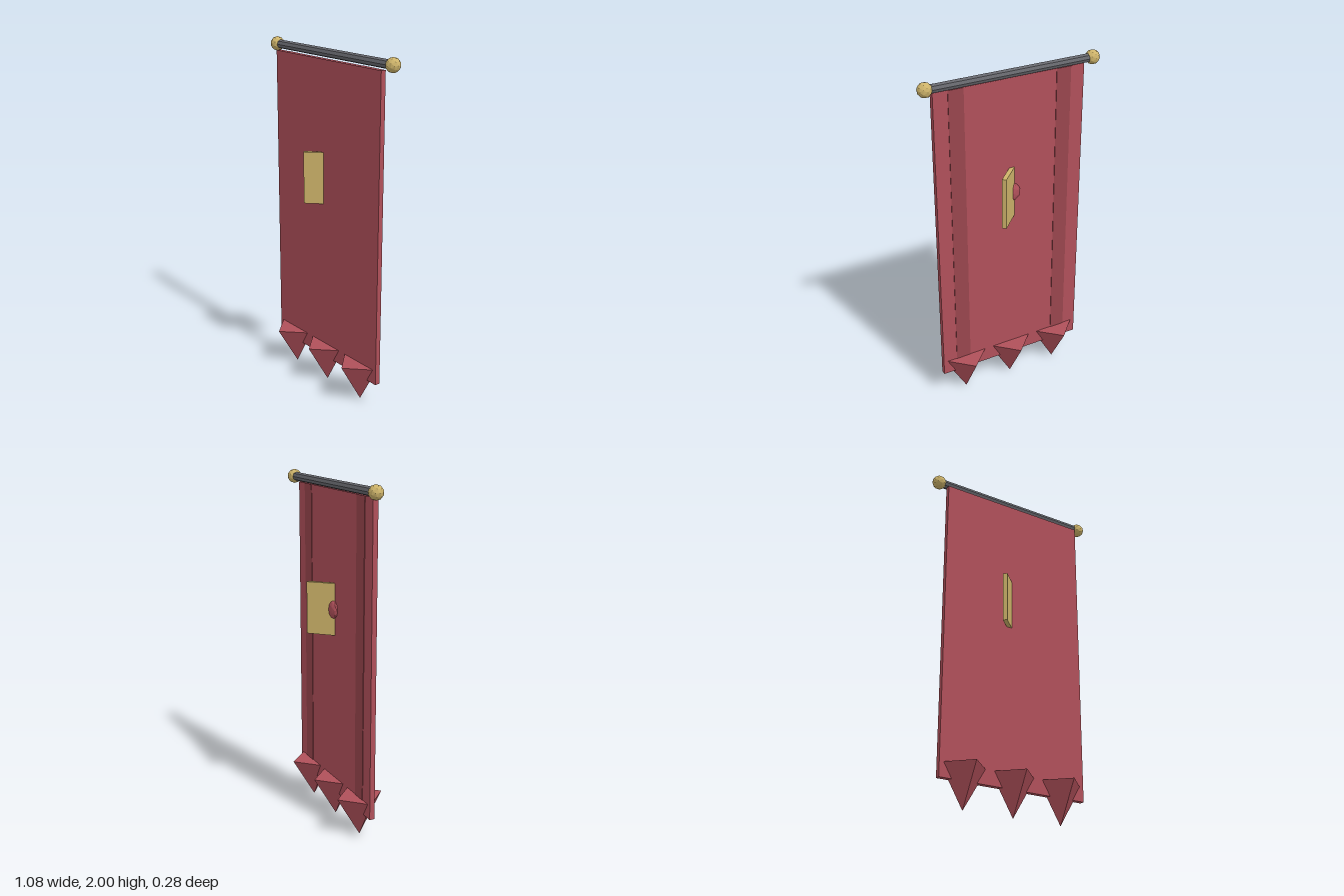
import * as THREE from 'three';

const mat = (color) => new THREE.MeshStandardMaterial({ color, flatShading: true });

export function createModel() {
  const group = new THREE.Group();
  const red = mat(0xb0505a), darkRed = mat(0x98454d), gold = mat(0xcdb36a), iron = mat(0x66676d);

  const add = (name, geometry, material, x, y, z) => {
    const mesh = new THREE.Mesh(geometry, material);
    mesh.name = name;
    mesh.position.set(x, y, z);
    group.add(mesh);
    return mesh;
  };

  // Hanging cloth
  const bottom = 0.155, top = 1.93;
  const height = top - bottom, middle = (top + bottom) / 2;
  add('cloth', new THREE.BoxGeometry(0.91, height, 0.03), red, 0, middle, 0);

  // Raised strips down the back of the cloth
  for (const side of [-1, 1]) {
    add('backStrip', new THREE.BoxGeometry(0.09, height, 0.006), darkRed, side * 0.325, middle, -0.015);
  }

  // Horizontal pole with faceted end knobs
  const pole = add('pole', new THREE.CylinderGeometry(0.025, 0.025, 1, 8), iron, 0, 1.96, -0.024);
  pole.rotation.z = Math.PI / 2;
  for (const side of [-1, 1]) {
    add('poleKnob', new THREE.IcosahedronGeometry(0.041, 1), gold, side * 0.5, 1.96, -0.024);
  }

  // Pointed pendants along the lower hem
  for (const x of [-0.305, 0, 0.305]) {
    const point = add('hemPoint', new THREE.ConeGeometry(0.14, 0.238, 4), red, x, 0.121, 0);
    point.rotation.x = Math.PI;
  }

  // Turned emblem plate passing through the cloth
  const plate = add('emblemPlate', new THREE.BoxGeometry(0.3, 0.3, 0.025), gold, 0, 1.26, -0.02);
  plate.rotation.y = Math.PI / 4;

  // Flattened boss on the back of the cloth
  const boss = add('emblemBoss', new THREE.IcosahedronGeometry(0.056, 1), red, 0, 1.26, -0.02);
  boss.scale.z = 0.42;

  return group;
}
